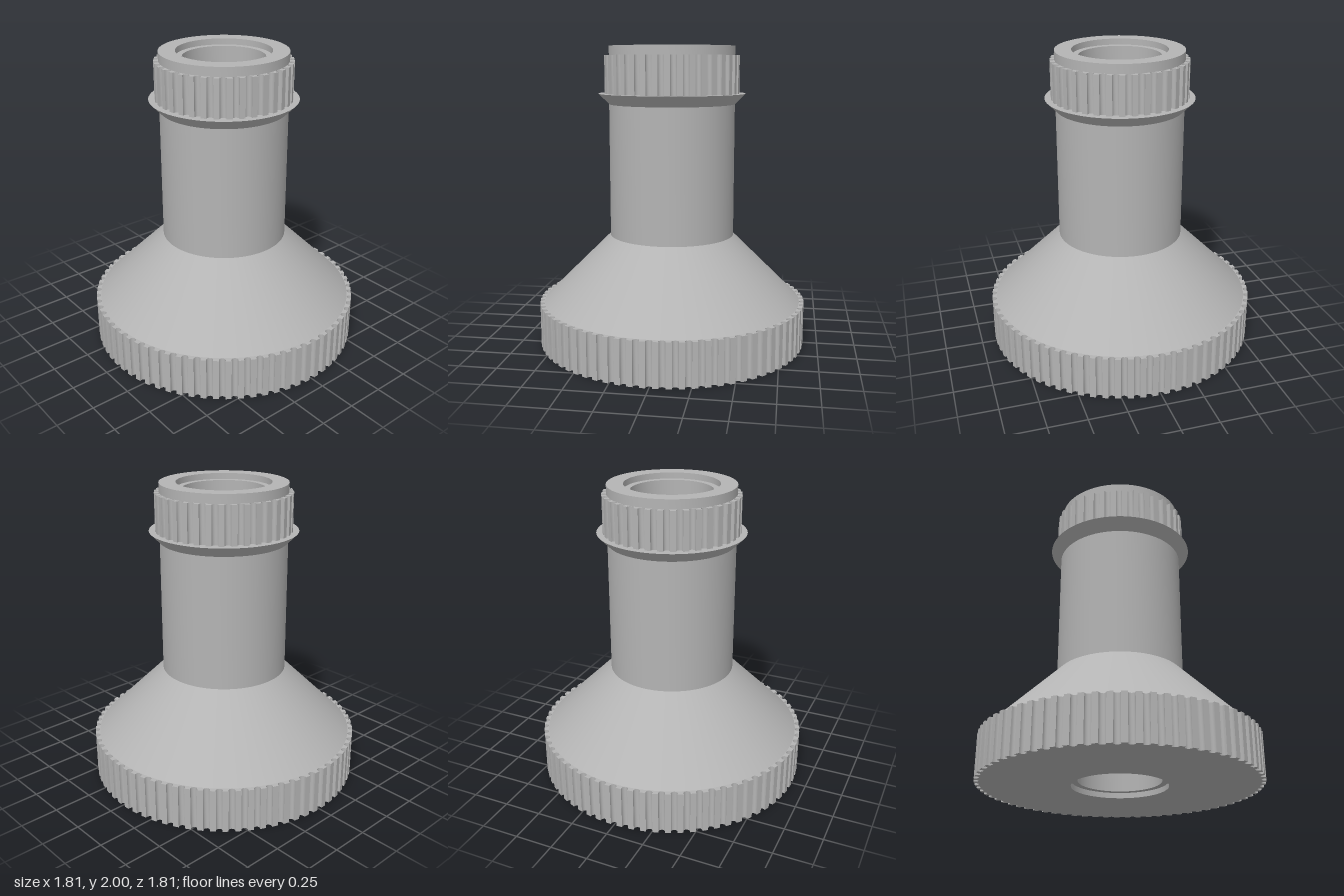
import * as THREE from 'three';
import { toCreasedNormals } from 'three/addons/utils/BufferGeometryUtils.js';

const grey = new THREE.MeshStandardMaterial({ color: 0xb4b4b4 });
grey.name = 'plain grey';

const GROOVE = 0.022; // radius of each round belt groove
const SINK = 0.008;   // depth of the groove centre below the rim

function addPart(group, name, geometry) {
  const mesh = new THREE.Mesh(toCreasedNormals(geometry, 0.6), grey);
  mesh.name = name;
  group.add(mesh);
  return mesh;
}

// Turned surface from [radius, height] pairs
function turned(points) {
  return new THREE.LatheGeometry(points.map(([r, y]) => new THREE.Vector2(r, y)), 96);
}

// Toothed ring with round grooves cut into its rim
function toothedRing(teeth, radius, inner, bottom, top) {
  const points = [];
  const half = Math.PI - Math.acos(SINK / GROOVE);
  for (let i = 0; i < teeth; i++) {
    const a = (i / teeth) * Math.PI * 2;
    for (let k = 0; k <= 8; k++) {
      const t = half * (k / 4 - 1);
      const r = radius - SINK - GROOVE * Math.cos(t);
      const s = GROOVE * Math.sin(t);
      points.push(new THREE.Vector2(
        r * Math.cos(a) - s * Math.sin(a),
        r * Math.sin(a) + s * Math.cos(a)));
    }
  }
  const shape = new THREE.Shape(points);
  const hole = new THREE.Path();
  hole.absarc(0, 0, inner, 0, Math.PI * 2, true);
  shape.holes.push(hole);
  const geometry = new THREE.ExtrudeGeometry(shape, {
    depth: top - bottom, bevelEnabled: false, curveSegments: 96,
  });
  geometry.rotateX(-Math.PI / 2);
  geometry.translate(0, bottom, 0);
  return geometry;
}

export function createModel() {
  const group = new THREE.Group();
  group.name = 'doublePulley';

  // Toothed rims
  addPart(group, 'largeToothedRim', toothedRing(72, 0.904, 0.84, 0, 0.29));
  addPart(group, 'smallToothedRim', toothedRing(36, 0.446, 0.38, 1.69, 1.94));

  // Outer body: cone, column, flange and collar
  addPart(group, 'cone', turned([[0.875, 0.288], [0.418, 0.74]]));
  addPart(group, 'column', turned([[0.418, 0.74], [0.418, 1.62]]));
  addPart(group, 'flange', turned([[0.418, 1.62], [0.487, 1.69], [0.38, 1.69]]));
  addPart(group, 'collar', turned([[0.416, 1.93], [0.416, 2], [0.308, 2]]));

  // Stepped bearing seats at both ends, joined by a through bore
  addPart(group, 'topBearingSeat', turned([
    [0.308, 2], [0.308, 1.96], [0.266, 1.96], [0.266, 1.8], [0.153, 1.8]]));
  addPart(group, 'throughBore', turned([[0.153, 1.8], [0.153, 0.19]]));
  addPart(group, 'bottomBearingSeat', turned([
    [0.153, 0.19], [0.266, 0.19], [0.266, 0.035], [0.308, 0.035], [0.308, 0]]));
  addPart(group, 'bottomFace', turned([[0.308, 0], [0.841, 0]]));

  return group;
}
